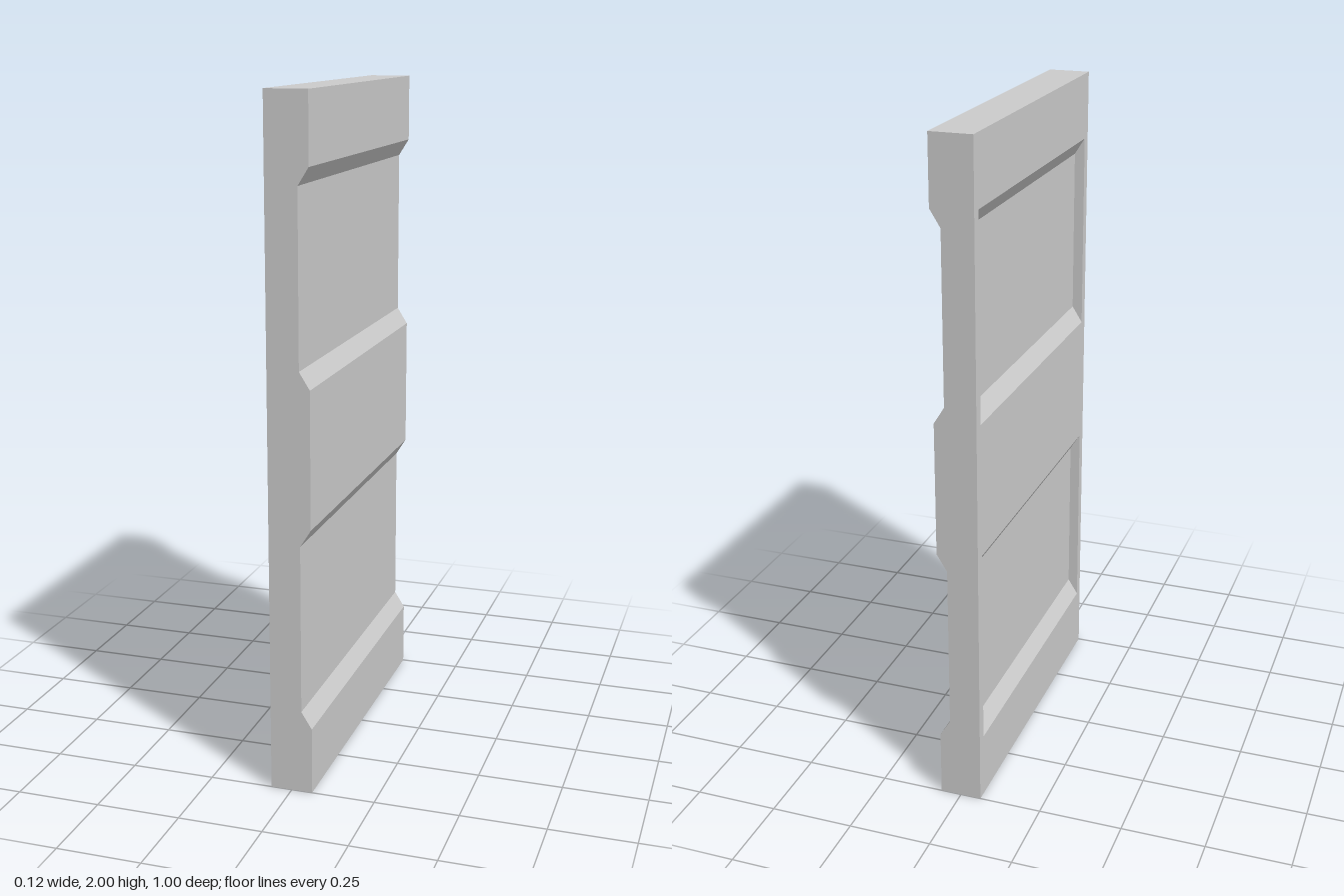
import * as THREE from 'three';

const HALF_T = 0.0625;   // half thickness
const DEPTH = 0.03125;   // recess depth
const HALF_W = 0.5;      // half width
const RIM = 0.03125;     // rim beside the pockets
const HEIGHT = 2;
const RECESSES = [[0.2, 0.8], [1.2, 1.8]];
const SLOPE = 0.05;      // height of each sloped recess edge

// Points up one side of the profile, dipping in at each recess
function sidePoints(sign, recessed) {
  const outer = sign * HALF_T, inner = sign * (HALF_T - DEPTH);
  const pts = [[outer, 0]];
  if (recessed) {
    for (const [lo, hi] of RECESSES) {
      pts.push([outer, lo], [inner, lo + SLOPE], [inner, hi - SLOPE], [outer, hi]);
    }
  }
  pts.push([outer, HEIGHT]);
  return pts;
}

// Slab section between two z positions
function section(name, z0, z1, leftRecessed, material) {
  const pts = [...sidePoints(1, true), ...sidePoints(-1, leftRecessed).reverse()];
  const shape = new THREE.Shape(pts.map(([x, y]) => new THREE.Vector2(x, y)));
  const geometry = new THREE.ExtrudeGeometry(shape, { depth: z1 - z0, bevelEnabled: false });
  geometry.translate(0, 0, z0);
  const mesh = new THREE.Mesh(geometry, material);
  mesh.name = name;
  return mesh;
}

export function createModel() {
  const group = new THREE.Group();
  group.name = 'panelledSlab';
  const material = new THREE.MeshStandardMaterial({ color: 0xcccccc, flatShading: true });
  const z = HALF_W - RIM;

  // Grooves run the full width on +x; pockets on -x stop at the rims
  group.add(section('recessedPanel', -z, z, true, material));
  group.add(section('frontRim', z, HALF_W, false, material));
  group.add(section('backRim', -HALF_W, -z, false, material));
  return group;
}
